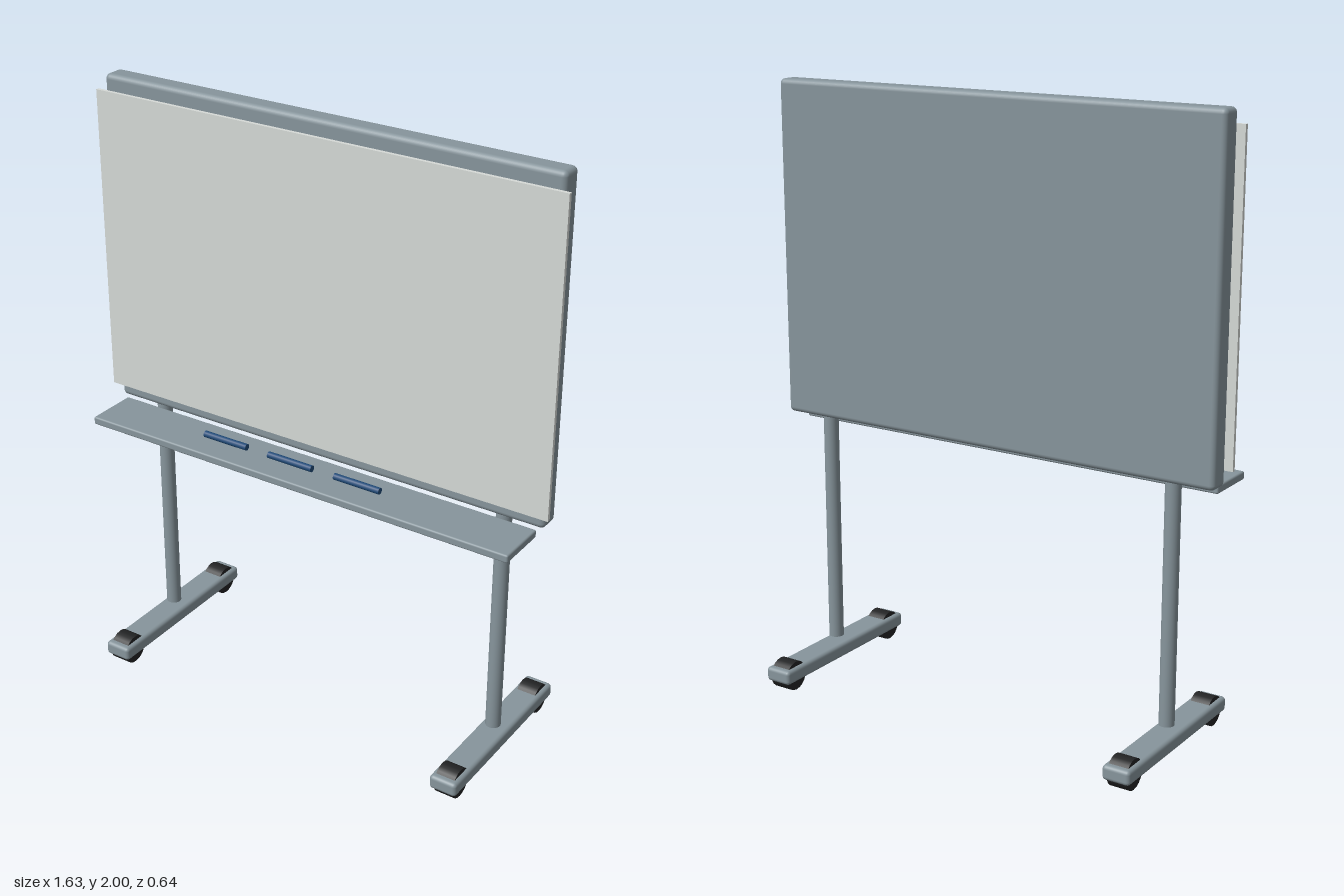
import * as THREE from 'three';
import { RoundedBoxGeometry } from 'three/addons/geometries/RoundedBoxGeometry.js';

const paint = (name, color) => {
  const m = new THREE.MeshStandardMaterial({ color });
  m.name = name;
  return m;
};

export function createModel() {
  const slate = paint('slate metal', 0x87959c);
  const white = paint('board white', 0xd6dad7);
  const blue = paint('marker blue', 0x1f4a78);
  const black = paint('rubber black', 0x222324);

  const model = new THREE.Group();
  model.name = 'mobileWhiteboard';
  const add = (name, geometry, material, x, y, z, parent = model) => {
    const mesh = new THREE.Mesh(geometry, material);
    mesh.name = name;
    mesh.position.set(x, y, z);
    parent.add(mesh);
    return mesh;
  };
  const cx = -0.003; // shared centre line of the board and stand

  // Backing panel, writing surface and pen tray
  add('backPanel', new RoundedBoxGeometry(1.595, 1.11, 0.075, 3, 0.017), slate, cx, 1.445, 0);
  add('writingSurface', new THREE.BoxGeometry(1.635, 1.015, 0.012), white, cx, 1.443, 0.049);
  add('penTray', new RoundedBoxGeometry(1.55, 0.027, 0.178, 2, 0.006), slate, cx, 0.873, 0.126);

  // Markers
  const marker = new THREE.CylinderGeometry(0.011, 0.011, 0.165, 16).rotateZ(Math.PI / 2);
  for (let i = 0; i < 3; i++) {
    add('marker', marker, blue, -0.294 + i * 0.249, 0.907, 0.134);
  }

  // Legs: post, foot bar and two casters on each side
  const post = new THREE.CylinderGeometry(0.025, 0.025, 0.82, 24);
  const foot = new RoundedBoxGeometry(0.095, 0.049, 0.64, 3, 0.013);
  const caster = new THREE.CylinderGeometry(0.05, 0.05, 0.066, 20).rotateZ(Math.PI / 2);
  for (const side of [-1, 1]) {
    const leg = new THREE.Group();
    leg.name = side > 0 ? 'leftLeg' : 'rightLeg';
    leg.position.x = cx + side * 0.646;
    model.add(leg);
    add('post', post, slate, 0, 0.51, 0, leg);
    add('footBar', foot, slate, 0, 0.059, 0, leg);
    for (const end of [-1, 1]) add('caster', caster, black, 0, 0.05, end * 0.262, leg);
  }
  return model;
}
